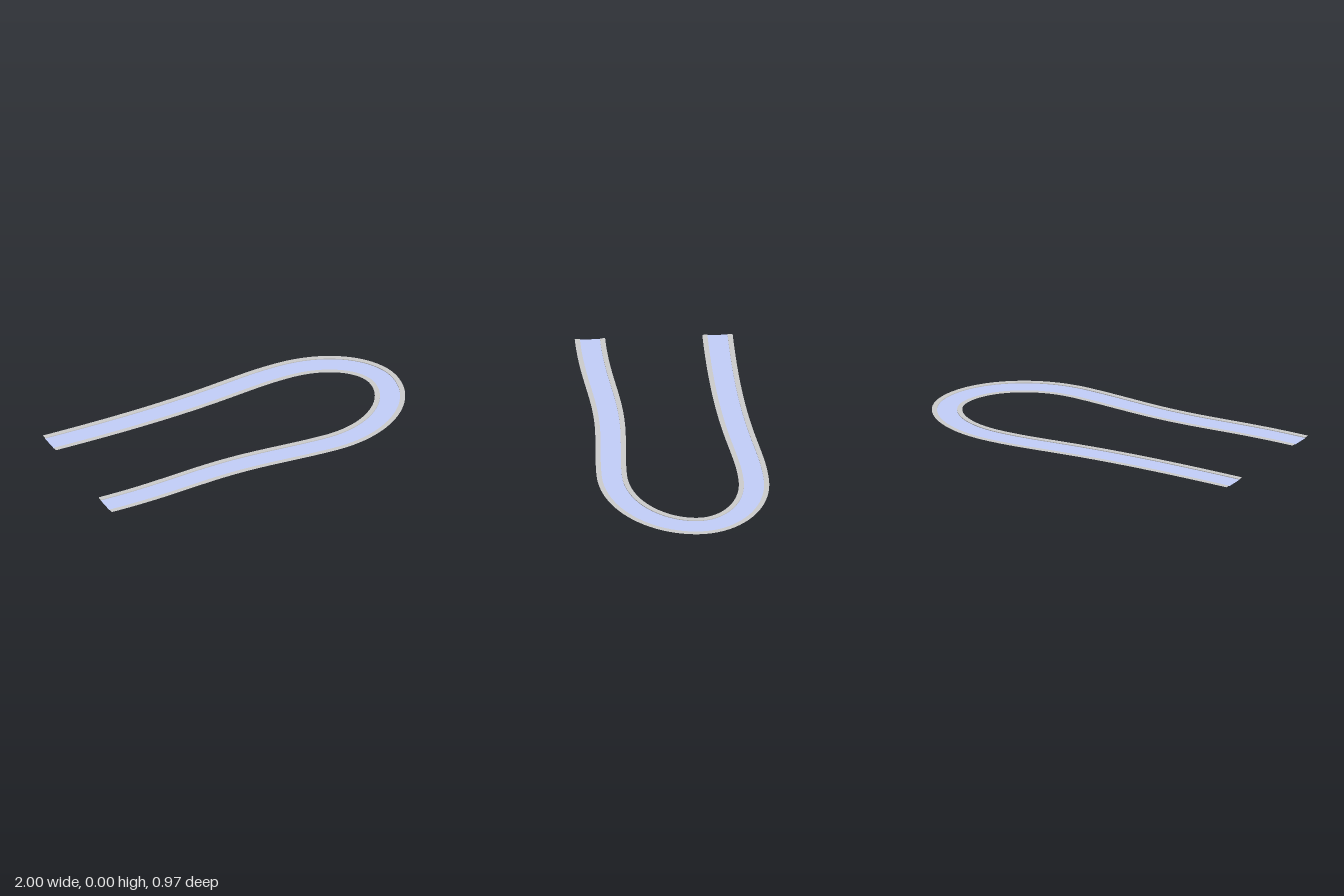
import * as THREE from 'three';

const HALF = 0.083;   // half width of the whole channel
const INNER = 0.055;  // half width of the bed
const DEPTH = 0.004;  // height of the banks above the bed

// Centre line in plan: each row is a Bezier as x, z pairs
function centreLine() {
  const path = new THREE.CurvePath();
  const rows = [
    [-1, -0.298, 0, -0.298, 0.15, -0.402, 0.48, -0.402],
    [0.48, -0.402, 0.74, -0.402, 0.917, -0.25, 0.917, -0.08],
    [0.917, -0.08, 0.917, 0.145, 0.69, 0.367, 0.38, 0.367],
    [0.38, 0.367, 0.2, 0.367, 0.03, 0.345, -0.15, 0.345],
    [-0.15, 0.345, -0.45, 0.345, -0.62, 0.398, -1, 0.398],
  ];
  for (const r of rows) {
    const p = [0, 2, 4, 6].map(i => new THREE.Vector3(r[i], 0, r[i + 1]));
    path.add(new THREE.CubicBezierCurve3(...p));
  }
  return path;
}

// Sweep one straight piece of the cross-section, (o1,y1) to (o2,y2), along the path
function strip(path, [o1, y1], [o2, y2], steps = 160) {
  const pos = [], index = [];
  for (let i = 0; i <= steps; i++) {
    const p = path.getPointAt(i / steps);
    const t = path.getTangentAt(i / steps);
    for (const [o, y] of [[o1, y1], [o2, y2]]) pos.push(p.x - t.z * o, y, p.z + t.x * o);
    if (i < steps) {
      const a = i * 2;
      index.push(a, a + 1, a + 2, a + 1, a + 3, a + 2);
    }
  }
  const g = new THREE.BufferGeometry();
  g.setAttribute('position', new THREE.Float32BufferAttribute(pos, 3));
  g.setIndex(index);
  g.computeVertexNormals();
  return g;
}

export function createModel() {
  const group = new THREE.Group();
  group.name = 'windingChannel';
  const path = centreLine();
  const bankMat = new THREE.MeshStandardMaterial({ color: 0xcccccc, side: THREE.DoubleSide });
  const bedMat = new THREE.MeshStandardMaterial({ color: 0xc2cdf8, side: THREE.DoubleSide });

  const add = (name, from, to, material) => {
    const mesh = new THREE.Mesh(strip(path, from, to), material);
    mesh.name = name;
    group.add(mesh);
  };

  // Flat banks, low inner walls and the recessed bed
  add('outerBank', [-HALF, DEPTH], [-INNER, DEPTH], bankMat);
  add('outerWall', [-INNER, DEPTH], [-INNER, 0], bankMat);
  add('bed', [-INNER, 0], [INNER, 0], bedMat);
  add('innerWall', [INNER, 0], [INNER, DEPTH], bankMat);
  add('innerBank', [INNER, DEPTH], [HALF, DEPTH], bankMat);
  return group;
}
